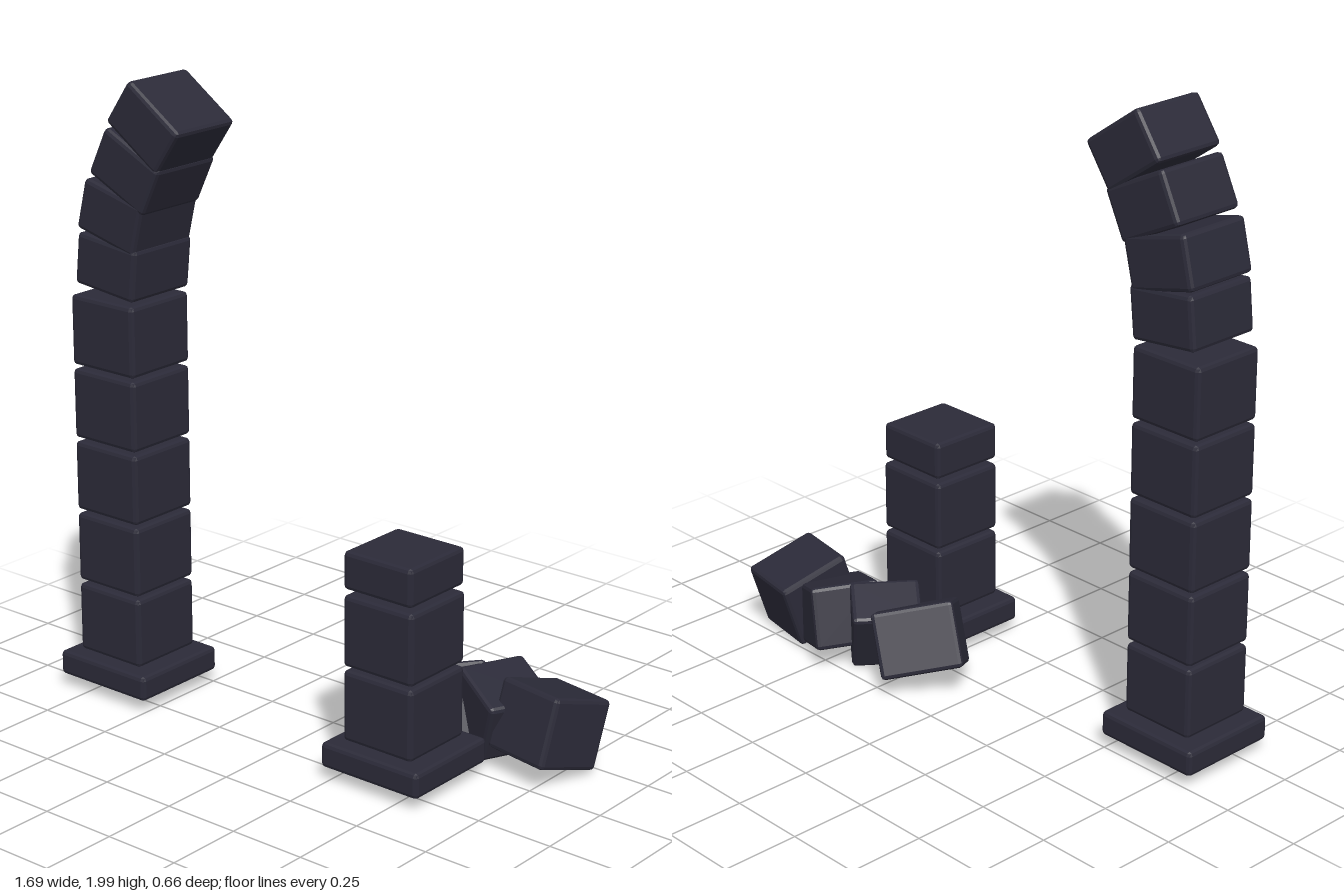
import * as THREE from 'three';
import { RoundedBoxGeometry } from 'three/addons/geometries/RoundedBoxGeometry.js';

const stone = new THREE.MeshStandardMaterial({ color: 0x2b2a38 });
stone.name = 'dark stone';

// Stone block with a small chamfer on every edge
function block(name, size, position, rotation = [0, 0, 0]) {
  const geometry = new RoundedBoxGeometry(...size, 1, 0.013);
  geometry.computeVertexNormals(); // flat facets
  const mesh = new THREE.Mesh(geometry, stone);
  mesh.name = name;
  mesh.position.set(...position);
  mesh.rotation.set(...rotation, 'YXZ');
  return mesh;
}

// Plinth with a stack of equal blocks on it
function pillar(name, x, count) {
  const group = new THREE.Group();
  group.name = name;
  group.add(block('plinth', [0.36, 0.08, 0.34], [x, 0.09, 0.165]));
  for (let i = 0; i < count; i++) {
    group.add(block('pillarBlock', [0.255, 0.225, 0.255], [x, 0.25 + i * 0.237, 0.168]));
  }
  return group;
}

export function createModel() {
  const model = new THREE.Group();
  model.name = 'brokenArch';

  // Tall pillar and the arch stones leaning inward from its top
  const tall = pillar('tallPillar', -0.67, 5);
  const archStones = [
    [-0.65, 1.419, 6],
    [-0.629, 1.577, 14],
    [-0.565, 1.726, 26],
    [-0.487, 1.87, 35],
  ];
  for (const [x, y, lean] of archStones) {
    tall.add(block('archStone', [0.238, 0.165, 0.255], [x, y, 0.168],
      [0, 0, -THREE.MathUtils.degToRad(lean)]));
  }
  model.add(tall);

  // Broken pillar, ending in a half block
  const broken = pillar('brokenPillar', 0.407, 2);
  broken.add(block('halfBlock', [0.25, 0.12, 0.255], [0.405, 0.677, 0.168]));
  model.add(broken);

  // Fallen stones behind the broken pillar
  const rubble = new THREE.Group();
  rubble.name = 'rubble';
  rubble.add(
    block('fallenStone', [0.19, 0.21, 0.26], [0.19, 0.157, -0.12], [-0.2, -0.785, -0.4]),
    block('fallenStone', [0.165, 0.23, 0.22], [0.36, 0.145, -0.115], [0, -0.65, 0.42]),
    block('fallenStone', [0.22, 0.2, 0.22], [0.52, 0.15, -0.17], [0, -0.44, -0.3]),
    block('fallenStone', [0.23, 0.22, 0.24], [0.705, 0.157, -0.155], [-0.3, -0.17, 0]),
  );
  model.add(rubble);

  return model;
}
